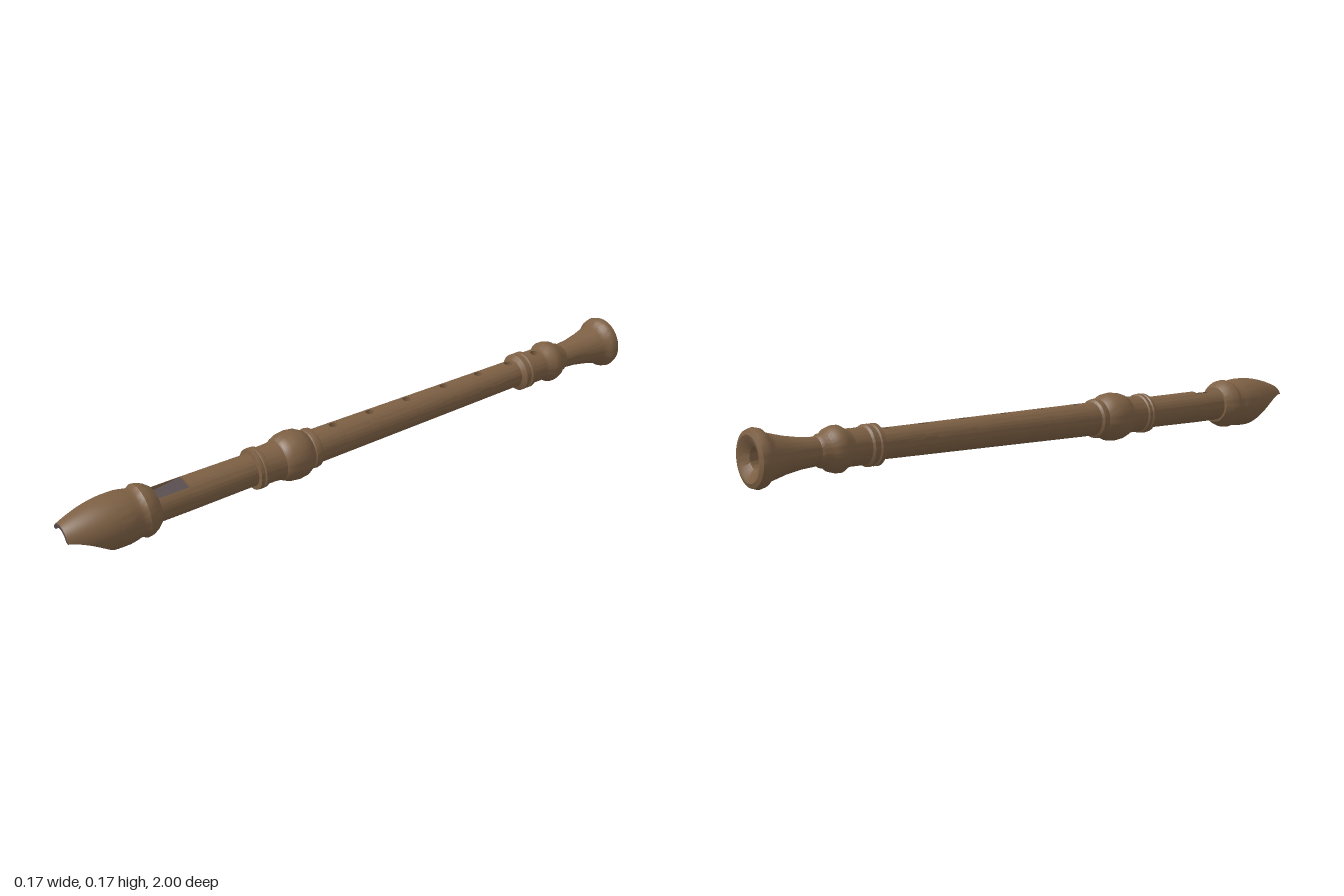
import * as THREE from 'three';
import { toCreasedNormals } from 'three/addons/utils/BufferGeometryUtils.js';

const wood = new THREE.MeshStandardMaterial({ color: 0x7d6044, side: THREE.DoubleSide });
wood.name = 'brown wood';
const shade = new THREE.MeshStandardMaterial({ color: 0x554a4c, side: THREE.DoubleSide });
shade.name = 'windway grey';
const scoopWood = new THREE.MeshStandardMaterial({ color: 0x463a34, side: THREE.DoubleSide });
scoopWood.name = 'dark wood';

const AXIS_Y = 0.085;
const BORE = 0.03;
const lerp = THREE.MathUtils.lerp;

function add(parent, name, geometry, material = wood) {
  const mesh = new THREE.Mesh(geometry, material);
  mesh.name = name;
  parent.add(mesh);
  return mesh;
}

// Turned surface around z from [z, radius] points; gap leaves a slot at the top
function turned(points, gap = 0) {
  const profile = points.map(([z, r]) => new THREE.Vector2(r, z));
  const g = new THREE.LatheGeometry(profile, 56, Math.PI + gap, Math.PI * 2 - gap * 2);
  return toCreasedNormals(g.rotateX(Math.PI / 2), 0.6);
}

// Surface from a rule f(u, v) -> [x, y, z]
function surface(nu, nv, f) {
  const pos = [], index = [];
  for (let i = 0; i <= nu; i++)
    for (let j = 0; j <= nv; j++) pos.push(...f(i / nu, j / nv));
  for (let i = 0; i < nu; i++)
    for (let j = 0; j < nv; j++) {
      const a = i * (nv + 1) + j, b = a + nv + 1;
      index.push(a, b, a + 1, b, b + 1, a + 1);
    }
  const g = new THREE.BufferGeometry();
  g.setAttribute('position', new THREE.Float32BufferAttribute(pos, 3));
  g.setIndex(index);
  g.computeVertexNormals();
  return g;
}

// Short length of tube with a finger hole bored in its top
const HALF = 0.022;
function fingerHole(parent, zc, radius, hole = 0.013) {
  const group = new THREE.Group();
  group.name = 'fingerHole';
  parent.add(group);
  const top = (x, z) => Math.sqrt(radius(z) ** 2 - x * x);
  const gap = Math.asin(HALF / radius(zc));
  add(group, 'tubeAroundHole',
    turned([[zc - HALF, radius(zc - HALF)], [zc + HALF, radius(zc + HALF)]], gap));
  add(group, 'holeSurround', surface(32, 3, (u, v) => {
    const a = u * Math.PI * 2, c = Math.cos(a), s = Math.sin(a);
    const r = lerp(hole, HALF / Math.max(Math.abs(c), Math.abs(s)), v);
    return [c * r, top(c * r, zc + s * r), zc + s * r];
  }));
  add(group, 'holeWall', surface(32, 1, (u, v) => {
    const a = u * Math.PI * 2, x = Math.cos(a) * hole, z = zc + Math.sin(a) * hole;
    return [x, lerp(top(x, z), BORE - 0.005, v), z];
  }));
}

function buildFoot() {
  const foot = new THREE.Group();
  foot.name = 'footJoint';
  add(foot, 'bell', turned([
    [-0.98, BORE], [-0.995, 0.05], [-1, 0.065], [-0.995, 0.078], [-0.98, 0.083], [-0.965, 0.079],
    [-0.955, 0.068], [-0.94, 0.064], [-0.9, 0.053], [-0.85, 0.044], [-0.8, 0.04], [-0.79, 0.047],
    [-0.775, 0.05], [-0.765, 0.06], [-0.745, 0.066], [-0.73, 0.066], [-0.715, 0.056], [-0.702, 0.053]]));
  fingerHole(foot, -0.68, () => 0.053);
  add(foot, 'footRings', turned([
    [-0.658, 0.053], [-0.65, 0.053], [-0.645, 0.06], [-0.635, 0.06], [-0.632, 0.055],
    [-0.625, 0.055], [-0.622, 0.06], [-0.61, 0.06], [-0.605, 0.052], [-0.6, 0.044]]));
  foot.rotation.z = -0.12;
  return foot;
}

function buildBody() {
  const body = new THREE.Group();
  body.name = 'bodyJoint';
  const radius = z => lerp(0.044, 0.052, (z + 0.6) / 0.78);
  let start = -0.6;
  for (const z of [-0.575, -0.45, -0.31, -0.165, -0.025, 0.11]) {
    add(body, 'bodyTube', turned([[start, radius(start)], [z - HALF, radius(z - HALF)]]));
    fingerHole(body, z, radius);
    start = z + HALF;
  }
  add(body, 'bodyTube', turned([[start, radius(start)], [0.18, radius(0.18)]]));
  add(body, 'middleSocket', turned([
    [0.18, 0.052], [0.185, 0.06], [0.195, 0.062], [0.205, 0.06], [0.208, 0.056], [0.215, 0.062],
    [0.235, 0.073], [0.26, 0.076], [0.285, 0.073], [0.305, 0.066], [0.31, 0.06], [0.34, 0.057],
    [0.37, 0.057], [0.373, 0.062], [0.383, 0.063], [0.386, 0.058], [0.39, 0.063], [0.4, 0.062],
    [0.402, 0.048]]));
  add(body, 'bore', turned([[-0.98, BORE], [0.6, BORE]]));
  return body;
}

function buildHead() {
  const head = new THREE.Group();
  head.name = 'headJoint';
  add(head, 'headTube', turned([[0.4, 0.049], [0.62, 0.051]]));

  // Sound window: slot in the tube with a sloping floor
  const R = 0.051, gap = 0.56, w = R * Math.sin(gap), h = R * Math.cos(gap);
  add(head, 'windowTube', turned([[0.62, R], [0.72, R]], gap));
  add(head, 'windowRamp', surface(1, 1, (u, v) => [lerp(-w, w, u), lerp(h, 0.027, v), lerp(0.62, 0.72, v)]), shade);
  for (const side of [-1, 1])
    add(head, 'windowSide', surface(1, 1, (u, v) => [side * w, lerp(h, lerp(h, 0.027, v), u), lerp(0.62, 0.72, v)]));
  add(head, 'windowEdge', surface(12, 1, (u, v) => {
    const a = lerp(-gap, gap, u);
    return [R * Math.sin(a), lerp(h, R * Math.cos(a), v), 0.62];
  }));

  add(head, 'headCollar', turned([
    [0.715, 0.025], [0.72, 0.058], [0.735, 0.07], [0.75, 0.077], [0.765, 0.079], [0.775, 0.073],
    [0.785, 0.072], [0.8, 0.076], [0.82, 0.079], [0.85, 0.079]]));

  // Beak: tapering shell, cut away underneath, t runs from collar to tip
  const zAt = t => 0.85 + 0.15 * t;
  const outer = t => 0.079 - 0.034 * t ** 1.8;
  const inner = t => 0.045 - 0.011 * t ** 3;
  const cut = t => lerp(-0.079, 0.013, 1 - (1 - t) ** 2);
  const edge = (r, t) => Math.asin(THREE.MathUtils.clamp(cut(t) / r, -1, 1));
  const onArc = (r, t, u) => {
    const a0 = edge(r, t), a = lerp(a0, Math.PI - a0, u);
    return [r * Math.cos(a), r * Math.sin(a), zAt(t)];
  };
  add(head, 'beakShell', surface(48, 24, (u, v) => onArc(outer(v), v, u)));
  add(head, 'beakHollow', surface(40, 20, (u, v) => {
    const t = lerp(0.2, 1, v);
    return onArc(inner(t), t, u);
  }));
  for (const side of [-1, 1])
    add(head, 'beakScoop', surface(1, 40, (u, t) => {
      const x = lerp(outer(t) * Math.cos(edge(outer(t), t)), inner(t) * Math.cos(edge(inner(t), t)), u);
      return [side * x, cut(t), zAt(t)];
    }), scoopWood);
  add(head, 'beakTip', surface(32, 1, (u, v) => onArc(lerp(inner(1), outer(1), v), 1, u)), shade);
  add(head, 'block', new THREE.CircleGeometry(0.045, 40)).position.z = zAt(0.2);
  head.rotation.z = -0.12;
  return head;
}

export function createModel() {
  const model = new THREE.Group();
  model.name = 'woodenFlute';
  model.add(buildFoot(), buildBody(), buildHead());
  for (const joint of model.children) joint.position.y = AXIS_Y;
  return model;
}
